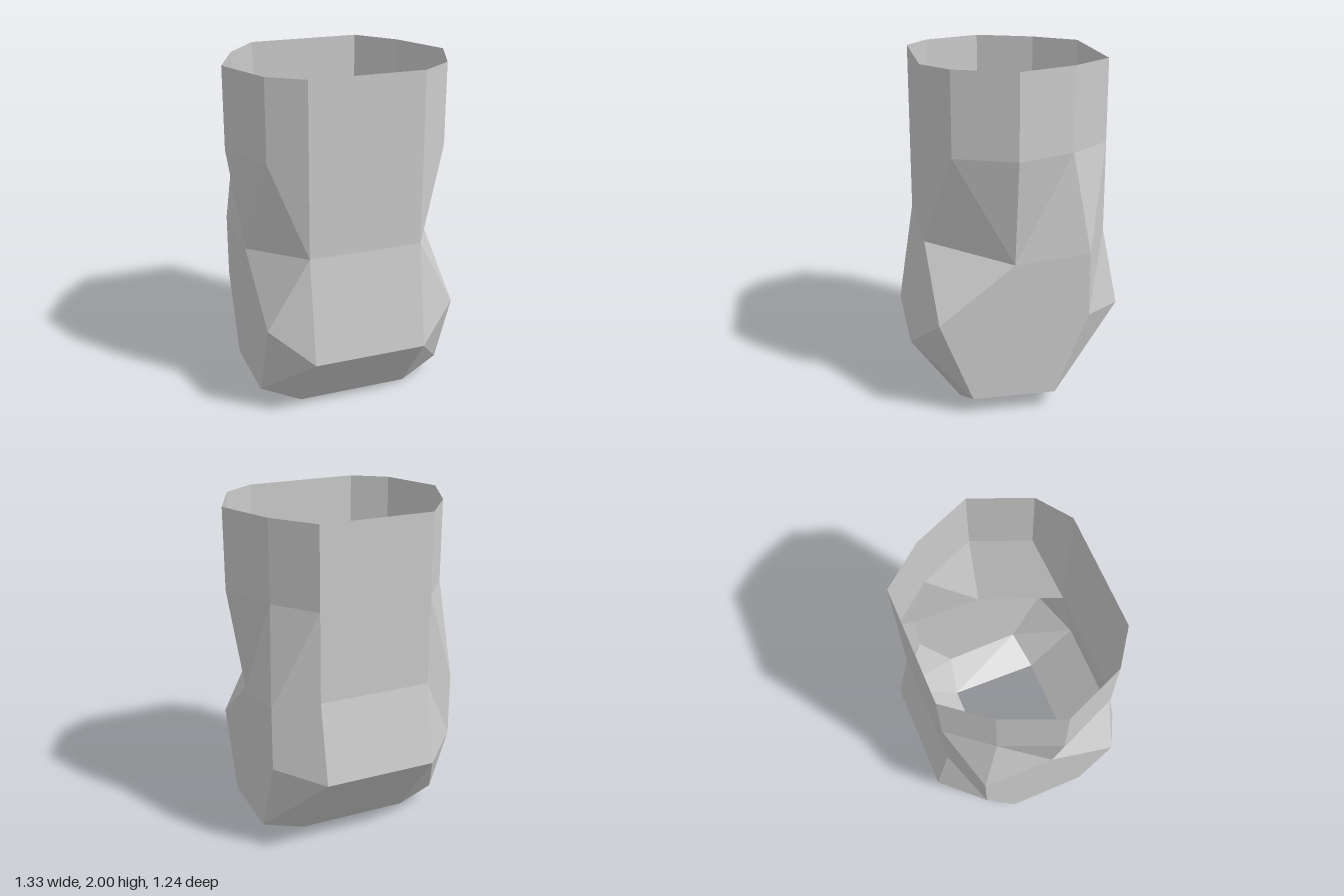
import * as THREE from 'three';

// Corners of the left half (+x), named by column: f front, a front corner,
// s side, b back corner, k back; the digit counts levels downward.
const P = {
  f0: [0.333, 2, 0.523], a0: [0.525, 2, 0.385], s0: [0.665, 2, 0.047], b0: [0.525, 2, -0.285], k0: [0.333, 2, -0.523],
  a1: [0.525, 1.525, 0.385], s1: [0.665, 1.525, 0.047], b1: [0.525, 1.525, -0.285], k1: [0.333, 1.525, -0.523],
  f2: [0.333, 1, 0.523], s2: [0.57, 0.91, 0.047], b2: [0.57, 0.95, -0.383], k2: [0.333, 1, -0.523],
  f3: [0.333, 0.385, 0.618], a3: [0.57, 0.575, 0.477], b3: [0.57, 0.575, -0.383], k3: [0.333, 0.53, -0.618],
  f4: [0.333, 0, 0.333], a4: [0.57, 0.1, 0.29], b4: [0.57, 0.1, -0.19], k4: [0.333, 0.053, -0.242],
};

// Convex faces of one half, corners counter-clockwise from outside
const HALF = [
  // straight collar
  'f2 a1 a0 f0', 'a0 a1 s1 s0', 's0 s1 b1 b0', 'b0 b1 k1 k0',
  // tapered middle
  'a1 f2 s2', 'a1 s2 s1', 's1 s2 b1', 'b1 s2 b2', 'b1 b2 k1', 'k1 b2 k2',
  // bulging lower part
  'f2 a3 s2', 's2 a3 a4 b4 b3 b2', 'b2 b3 k2', 'k2 b3 k3',
  'f2 f3 a3', 'a3 f3 a4', 'f3 f4 a4', 'b3 b4 k3', 'k3 b4 k4',
  // rim beside the bottom opening
  'a4 f4 k4 b4',
];

// Panels that span the middle, as upper and lower corner
const FRONT = [['f0', 'f2'], ['f2', 'f3'], ['f3', 'f4']];
const BACK = [['k0', 'k2'], ['k2', 'k3'], ['k3', 'k4']];

const mirror = ([x, y, z]) => [-x, y, z];

export function createModel() {
  const positions = [];
  const addFace = (pts) => {
    for (let i = 1; i < pts.length - 1; i++) positions.push(...pts[0], ...pts[i], ...pts[i + 1]);
  };

  for (const face of HALF) {
    const pts = face.split(' ').map((n) => P[n]);
    addFace(pts);
    addFace(pts.map(mirror).reverse());
  }
  for (const [u, l] of FRONT) addFace([mirror(P[u]), mirror(P[l]), P[l], P[u]]);
  for (const [u, l] of BACK) addFace([P[u], P[l], mirror(P[l]), mirror(P[u])]);

  const geometry = new THREE.BufferGeometry();
  geometry.setAttribute('position', new THREE.Float32BufferAttribute(positions, 3));
  geometry.computeVertexNormals();

  const material = new THREE.MeshStandardMaterial({
    color: 0xcccccc, flatShading: true, side: THREE.DoubleSide,
  });
  const sleeve = new THREE.Mesh(geometry, material);
  sleeve.name = 'openSleeve';

  const group = new THREE.Group();
  group.name = 'facetedSleeve';
  group.add(sleeve);
  return group;
}
